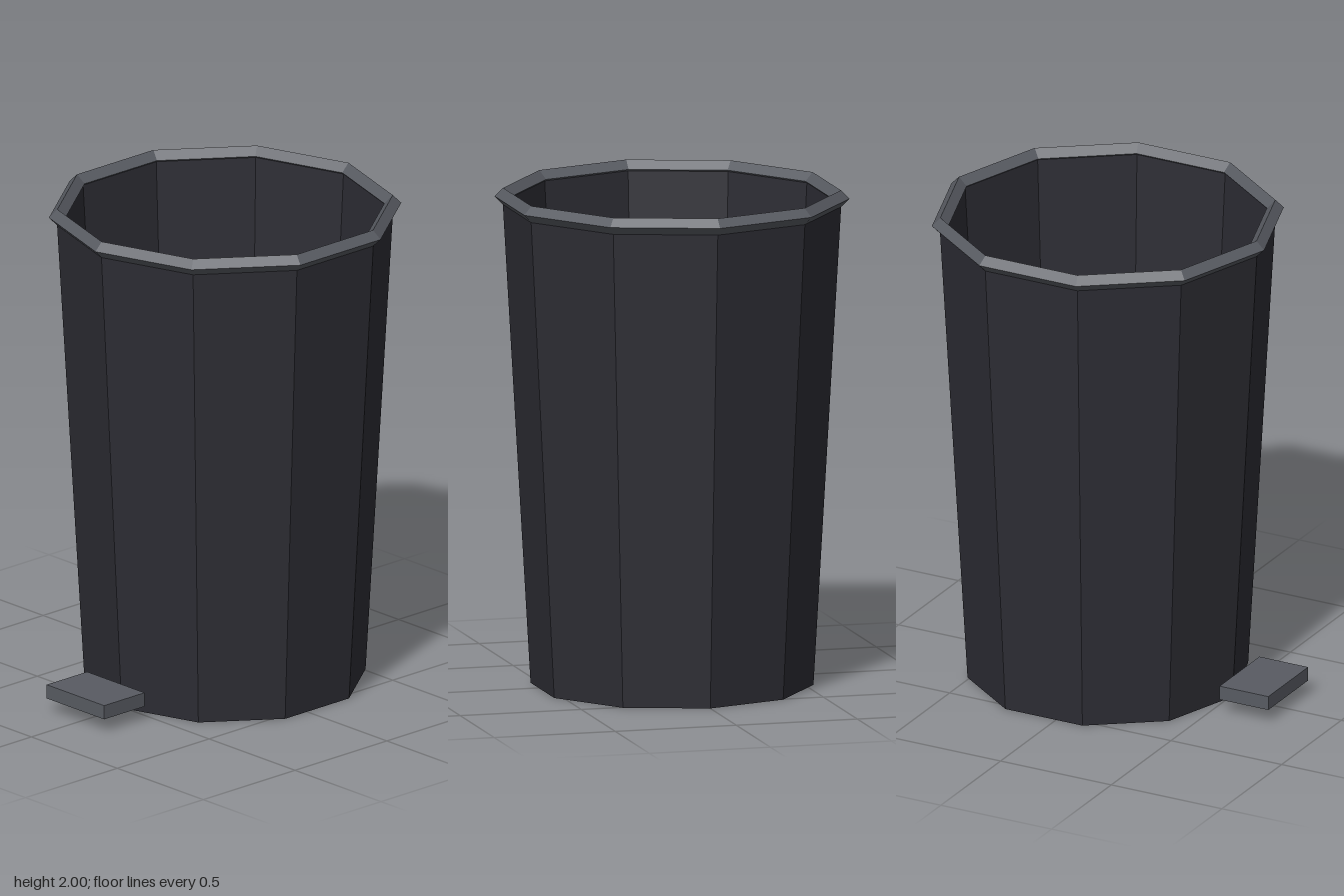
import * as THREE from 'three';

const SIDES = 10;
const BIN_Z = -0.055; // bin axis sits slightly back, the pedal sticks out in front

export function createModel() {
  const model = new THREE.Group();
  model.name = 'pedalBin';

  const plastic = new THREE.MeshStandardMaterial({ color: 0x2d2d34 });
  plastic.name = 'dark plastic';
  plastic.flatShading = true;
  const metal = new THREE.MeshStandardMaterial({ color: 0x585b62 });
  metal.name = 'grey metal';
  metal.flatShading = true;

  const add = (name, geometry, material, x, y, z) => {
    const mesh = new THREE.Mesh(geometry, material);
    mesh.name = name;
    mesh.position.set(x, y, z);
    model.add(mesh);
    return mesh;
  };

  // Tapered ten-sided shell: underside, outer wall, lip, inner wall, floor
  const profile = [
    [0, 0], [0.563, 0], [0.675, 1.965], [0.645, 1.965], [0.535, 0.035], [0, 0.035],
  ].map(([r, y]) => new THREE.Vector2(r, y));
  add('binBody', new THREE.LatheGeometry(profile, SIDES), plastic, 0, 0, BIN_Z);

  // Diamond-section rim around the mouth, with corners matching the shell
  const rim = new THREE.TorusGeometry(0.672, 0.034, 4, SIDES);
  rim.rotateZ(Math.PI / 2).rotateX(-Math.PI / 2);
  add('rim', rim, metal, 0, 1.966, BIN_Z);

  // Foot pedal
  add('pedal', new THREE.BoxGeometry(0.334, 0.058, 0.22), metal, 0, 0.088, 0.65);

  return model;
}
